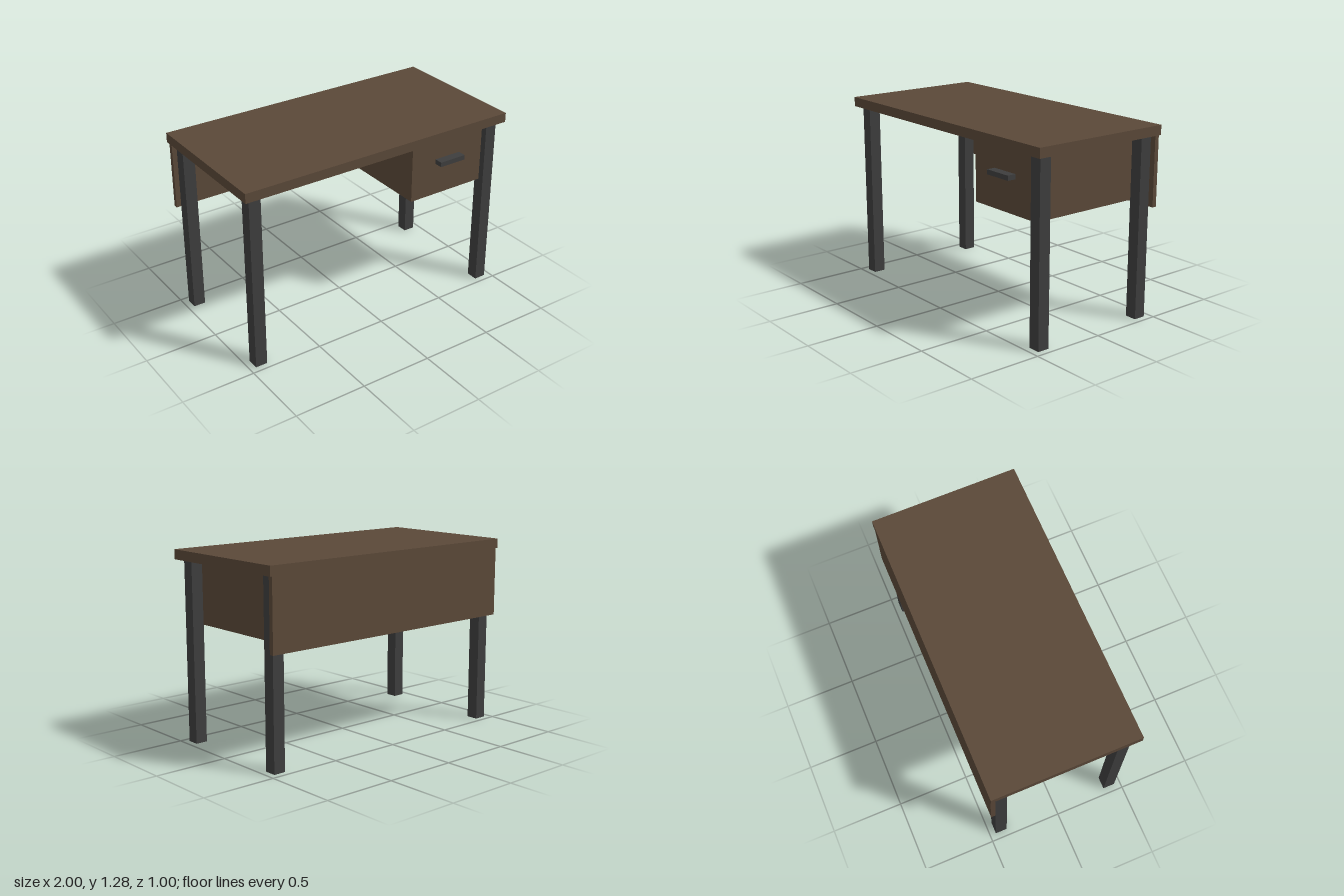
import * as THREE from 'three';

export function createModel() {
  const desk = new THREE.Group();
  desk.name = 'desk';
  const wood = new THREE.MeshStandardMaterial({ color: 0x5a4838 });
  const metal = new THREE.MeshStandardMaterial({ color: 0x3d3d3d });

  // Box given by its [min, max] extent on each axis
  const addBox = (name, material, [x0, x1], [y0, y1], [z0, z1]) => {
    const mesh = new THREE.Mesh(new THREE.BoxGeometry(x1 - x0, y1 - y0, z1 - z0), material);
    mesh.position.set((x0 + x1) / 2, (y0 + y1) / 2, (z0 + z1) / 2);
    mesh.name = name;
    desk.add(mesh);
    return mesh;
  };

  // Top and rear modesty panel
  addBox('tabletop', wood, [-1, 1], [1.22, 1.285], [-0.5, 0.5]);
  addBox('backPanel', wood, [-0.985, 0.985], [0.75, 1.22], [-0.497, -0.466]);

  // Four square legs
  for (const [side, sx] of [['Left', 1], ['Right', -1]]) {
    for (const [end, sz] of [['front', 1], ['back', -1]]) {
      const leg = addBox(`${end}${side}Leg`, metal, [-0.041, 0.041], [0, 1.22], [-0.041, 0.041]);
      leg.position.x = sx * 0.915;
      leg.position.z = sz * 0.416;
    }
  }

  // Drawer box between the left legs, with a bar handle
  addBox('drawer', wood, [0.29, 0.875], [0.793, 1.21], [-0.415, 0.415]);
  addBox('drawerHandle', metal, [0.482, 0.682], [1.02, 1.052], [0.41, 0.475]);

  return desk;
}
